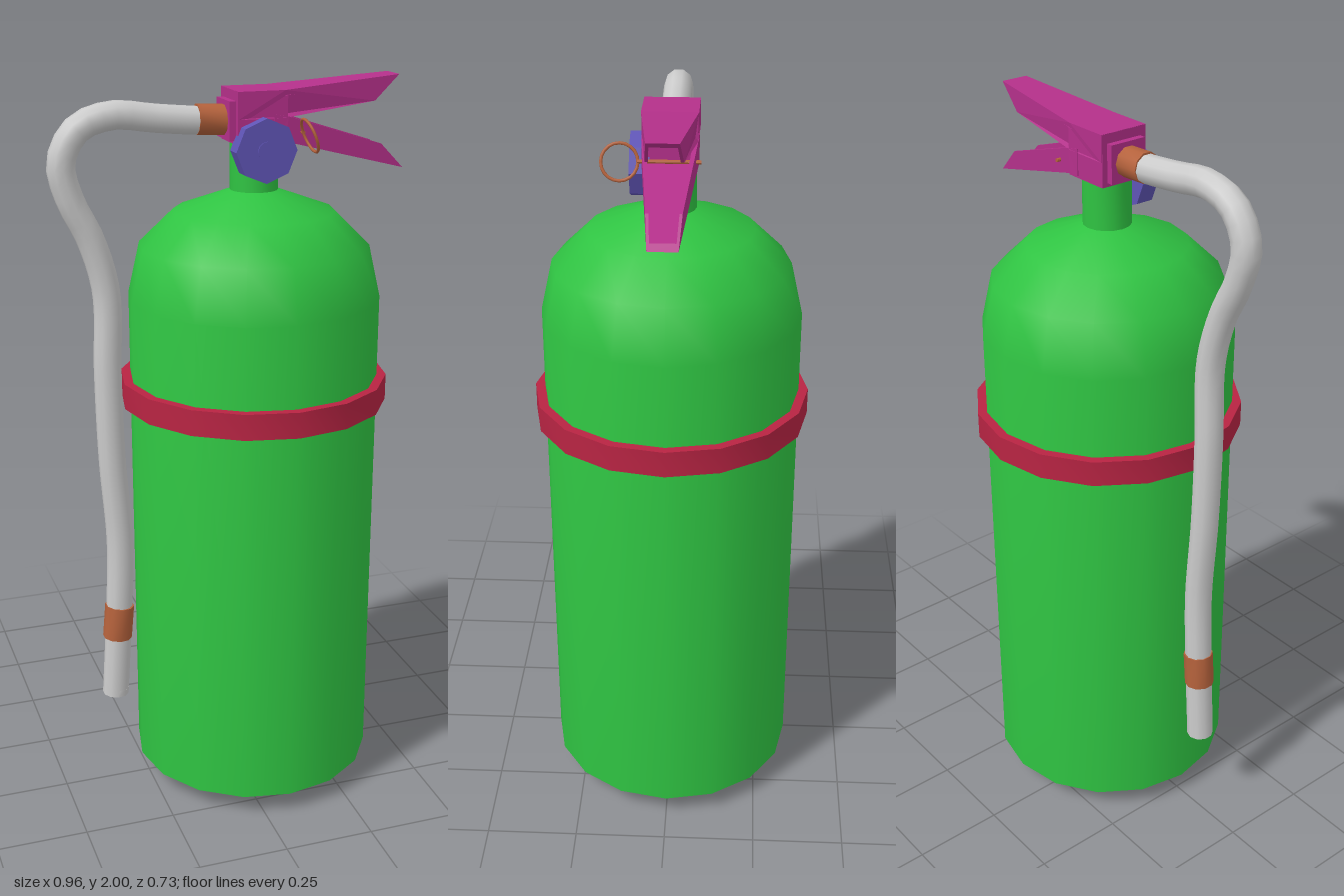
import * as THREE from 'three';
import { toCreasedNormals } from 'three/addons/utils/BufferGeometryUtils.js';

const AXIS_X = 0.07; // centre line of the cylinder
const material = (color) => new THREE.MeshStandardMaterial({ color });
const GREEN = material(0x2fc342);
const RED = material(0xb82443);
const MAGENTA = material(0xb4308a);
const PURPLE = material(0x5f54b5);
const COPPER = material(0xb5623c);
const GREY = material(0xcccccc);

export function createModel() {
  const model = new THREE.Group();
  model.name = 'fireExtinguisher';

  const add = (name, geometry, mat, x = 0, y = 0, z = 0, parent = model) => {
    const mesh = new THREE.Mesh(geometry, mat);
    mesh.name = name;
    mesh.position.set(x, y, z);
    parent.add(mesh);
    return mesh;
  };

  const lathe = (points, crease) => toCreasedNormals(
    new THREE.LatheGeometry(points.map(([r, y]) => new THREE.Vector2(r, y)), 16), crease);

  // Tank with bevelled foot, domed shoulder and neck
  add('tank', lathe([
    [0, 0], [0.25, 0], [0.34, 0.06], [0.34, 1.43], [0.308, 1.57],
    [0.215, 1.66], [0.064, 1.715], [0.064, 1.86], [0, 1.86],
  ], 0.75), GREEN, AXIS_X);

  // Strap around the tank
  add('strap', lathe([
    [0.335, 1.14], [0.365, 1.14], [0.365, 1.21], [0.335, 1.21], [0.335, 1.14],
  ], 0.75), RED, AXIS_X);

  // Valve block and hose plate
  const valve = new THREE.Group();
  valve.name = 'valve';
  model.add(valve);
  add('valveBlock', new THREE.BoxGeometry(0.135, 0.135, 0.136), MAGENTA, 0.07, 1.907, 0, valve);
  add('hosePlate', new THREE.BoxGeometry(0.02, 0.1, 0.105), MAGENTA, -0.005, 1.9, 0, valve);

  // Levers are folded channels that narrow towards the tip
  const taper = (x) => THREE.MathUtils.lerp(1, 0.52, THREE.MathUtils.clamp((x - 0.13) / 0.35, 0, 1));
  const taperedSlab = (outline, z0, z1) => {
    const shape = new THREE.Shape(outline.map(([x, y]) => new THREE.Vector2(x, y)));
    const geometry = new THREE.ExtrudeGeometry(shape, { depth: z1 - z0, bevelEnabled: false });
    geometry.translate(0, 0, z0);
    const p = geometry.attributes.position;
    for (let i = 0; i < p.count; i++) p.setZ(i, p.getZ(i) * taper(p.getX(i)));
    geometry.computeVertexNormals();
    return geometry;
  };
  const lever = (name, flange, web) => {
    const group = new THREE.Group();
    group.name = name;
    add('leverPlate', taperedSlab(web, -0.069, 0.069), MAGENTA, 0, 0, 0, group);
    add('leftFlange', taperedSlab(flange, 0.058, 0.07), MAGENTA, 0, 0, 0, group);
    add('rightFlange', taperedSlab(flange, -0.07, -0.058), MAGENTA, 0, 0, 0, group);
    model.add(group);
  };
  lever('upperLever',
    [[0.003, 1.975], [0.13, 1.975], [0.46, 2], [0.39, 1.935], [0.13, 1.905], [0.003, 1.905]],
    [[0.003, 1.975], [0.13, 1.975], [0.46, 2], [0.445, 1.986], [0.13, 1.961], [0.003, 1.961]]);
  lever('lowerLever',
    [[0.1, 1.915], [0.14, 1.908], [0.413, 1.822], [0.48, 1.755], [0.13, 1.845], [0.1, 1.845]],
    [[0.1, 1.845], [0.13, 1.845], [0.48, 1.755], [0.465, 1.77], [0.13, 1.858], [0.1, 1.858]]);

  // Octagonal pressure gauge facing the front
  const gauge = new THREE.Group();
  gauge.name = 'gauge';
  gauge.position.set(AXIS_X, 1.827, 0);
  model.add(gauge);
  const facing = (radius, length, sides) =>
    toCreasedNormals(new THREE.CylinderGeometry(radius, radius, length, sides).rotateX(Math.PI / 2), 0.6);
  add('gaugeBody', facing(0.083, 0.05, 8), PURPLE, 0, 0, 0.075, gauge);
  add('gaugeDial', facing(0.025, 0.006, 12), PURPLE, 0, 0, 0.1, gauge);

  // Safety pin through the levers, with a tilted pull ring
  add('safetyPin', facing(0.005, 0.155, 8), COPPER, 0.178, 1.867, 0);
  const ring = new THREE.TorusGeometry(0.045, 0.004, 6, 20).rotateY(Math.PI / 2).rotateZ(0.37);
  add('pullRing', ring, COPPER, 0.178, 1.865, 0.12);

  // Hose from the valve, over the shoulder and down the side
  const path = new THREE.CatmullRomCurve3([
    [-0.01, 1.898], [-0.09, 1.9], [-0.2, 1.91], [-0.31, 1.922], [-0.4, 1.892], [-0.445, 1.81],
    [-0.425, 1.715], [-0.375, 1.61], [-0.338, 1.47], [-0.34, 1.25], [-0.335, 1.0],
    [-0.32, 0.75], [-0.328, 0.54], [-0.345, 0.28],
  ].map(([x, y]) => new THREE.Vector3(x, y, 0)));
  add('hose', new THREE.TubeGeometry(path, 56, 0.037, 10), GREY);

  // Short cylinder laid along two points, used for the hose end and couplings
  const sleeve = (name, from, to, radius, mat) => {
    const a = new THREE.Vector3(...from, 0);
    const b = new THREE.Vector3(...to, 0);
    const dir = b.clone().sub(a);
    const geometry = toCreasedNormals(
      new THREE.CylinderGeometry(radius, radius, dir.length(), 10), 0.75);
    const mesh = add(name, geometry, mat);
    mesh.position.copy(a).lerp(b, 0.5);
    mesh.quaternion.setFromUnitVectors(new THREE.Vector3(0, 1, 0), dir.normalize());
  };
  sleeve('valveCoupling', [-0.012, 1.899], [-0.088, 1.902], 0.04, COPPER);
  sleeve('nozzleCoupling', [-0.326, 0.558], [-0.335, 0.46], 0.041, COPPER);
  sleeve('nozzleTip', [-0.3435, 0.3], [-0.345, 0.28], 0.037, GREY);

  return model;
}
